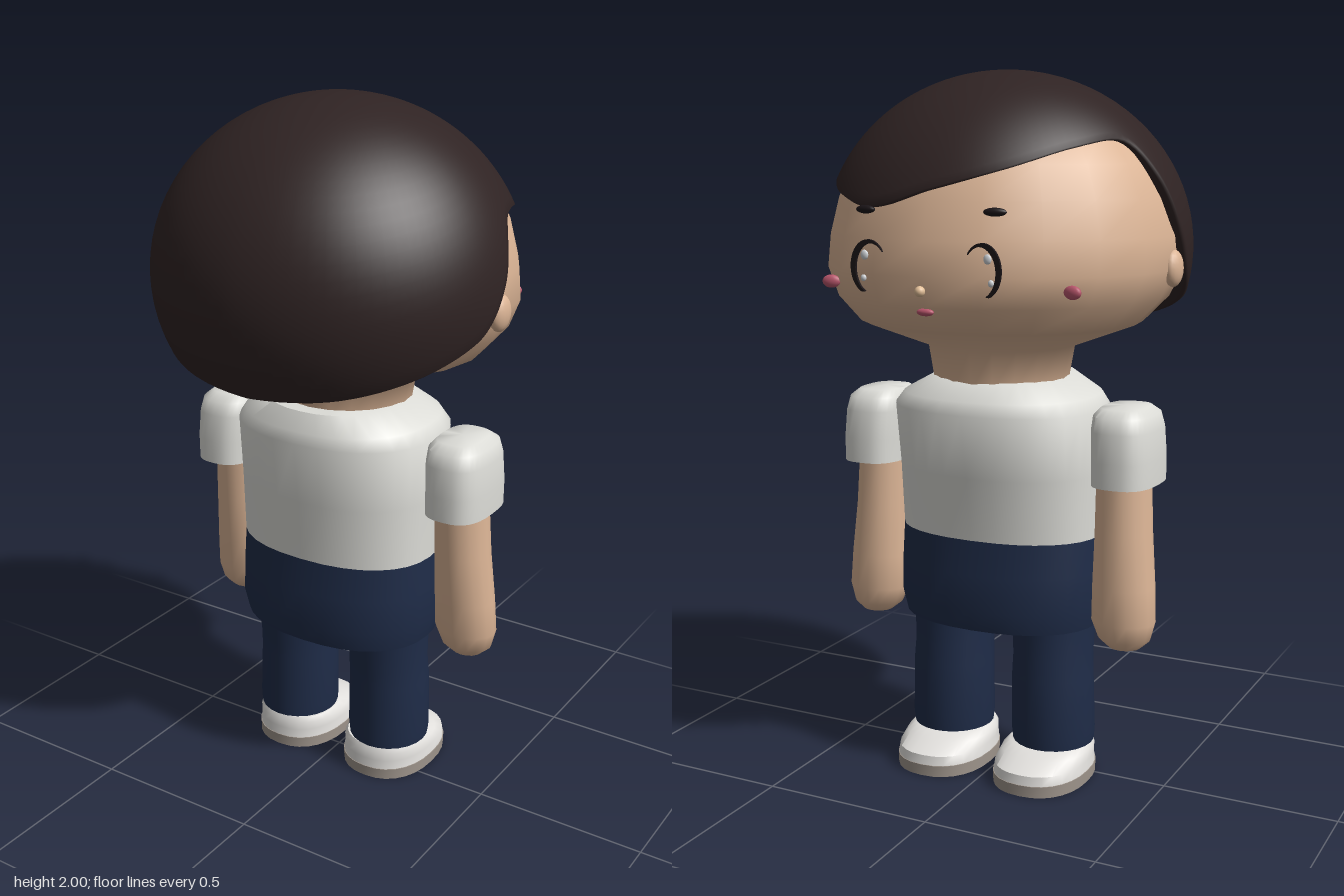
import * as THREE from 'three';
import { toCreasedNormals } from 'three/addons/utils/BufferGeometryUtils.js';

const mat = (name, color) => {
  const m = new THREE.MeshStandardMaterial({ color });
  m.name = name;
  return m;
};

// Build a closed grid surface from rows of points (bottom row first)
function grid(rows, crease) {
  const n = rows[0].length, pos = rows.flat(2), idx = [];
  for (let j = 0; j < rows.length - 1; j++) {
    for (let i = 0; i < n; i++) {
      const k = (i + 1) % n, a = j * n + i, b = j * n + k;
      idx.push(a, b, b + n, a, b + n, a + n);
    }
  }
  const g = new THREE.BufferGeometry();
  g.setAttribute('position', new THREE.Float32BufferAttribute(pos, 3));
  g.setIndex(idx);
  if (crease) return toCreasedNormals(g, crease);
  g.computeVertexNormals();
  return g;
}

// Loft through rings [y, centreX, centreZ, radiusX, radiusZ]; power above 2 squares the section
function loft(rings, { segments = 32, power = 2, crease = 0.8 } = {}) {
  const bend = (v) => Math.sign(v) * Math.abs(v) ** (2 / power);
  return grid(rings.map(([y, cx, cz, rx, rz]) =>
    Array.from({ length: segments }, (_, i) => {
      const a = (i / segments) * Math.PI * 2;
      return [cx + rx * bend(Math.sin(a)), y, cz + rz * bend(Math.cos(a))];
    })), crease);
}

// Hair cap: an ellipsoid trimmed along a wavy hairline given as (angle from the back, height)
function hairGeometry() {
  const line = [[0, 1.28], [30, 1.3], [55, 1.35], [73, 1.41], [81, 1.46], [88, 1.56], [94, 1.67],
    [102, 1.72], [120, 1.71], [140, 1.67], [160, 1.645], [180, 1.69], [203, 1.74], [229, 1.795],
    [253, 1.81], [263, 1.72], [270, 1.57], [277, 1.47], [287, 1.41], [305, 1.35], [330, 1.3], [360, 1.28]];
  const curve = new THREE.SplineCurve(line.map(([a, y]) => new THREE.Vector2(a, y)));
  const n = 132, steps = 24, rows = [];
  const edge = Array.from({ length: n }, (_, i) => curve.getPoint(i / n));
  const point = (deg, el, s, lift) => {
    const a = THREE.MathUtils.degToRad(deg), r = Math.cos(el) * s, c = Math.cos(a);
    return [0.52 * r * Math.sin(a), 1.52 + 0.48 * Math.sin(el) + lift, (c > 0 ? 0.51 : 0.488) * r * c];
  };
  const low = (e) => Math.asin((e.y - 1.52) / 0.48);
  // rolled-under rim
  rows.push(edge.map((e) => point(e.x, low(e), 0.88, 0.03)));
  rows.push(edge.map((e) => point(e.x, low(e), 0.95, -0.005)));
  rows.push(edge.map((e) => point(e.x, low(e), 0.985, -0.005)));
  for (let j = 0; j <= steps; j++) {
    rows.push(edge.map((e) => point(e.x, THREE.MathUtils.lerp(low(e), Math.PI / 2, j / steps), 1, 0)));
  }
  return grid(rows);
}

// Eye crescent, open towards the nose
function eyeGeometry() {
  const s = new THREE.Shape();
  s.absellipse(0, 0, 0.052, 0.07, -1.2, 2.4, false);
  s.absellipse(-0.008, -0.004, 0.046, 0.064, 2.4, -1.2, true);
  return new THREE.ExtrudeGeometry(s, { depth: 0.008, bevelEnabled: false, curveSegments: 24 });
}

export function createModel() {
  const model = new THREE.Group();
  model.name = 'figure';
  const hair = mat('hair brown', 0x2f2323), skin = mat('skin', 0xdcb596), white = mat('shirt white', 0xdcdcd7);
  const navy = mat('trouser navy', 0x1f2c48), shoe = mat('shoe white', 0xe4e2df), sole = mat('sole taupe', 0x9f958c);
  const pink = mat('blush pink', 0xb9566c), black = mat('eye black', 0x1a1417);
  const glint = mat('eye glint', 0xd0d4d8), noseTone = mat('nose tone', 0xe3bf98);

  const add = (name, geometry, material, x = 0, y = 0, z = 0) => {
    const m = new THREE.Mesh(geometry, material);
    m.name = name;
    m.position.set(x, y, z);
    model.add(m);
    return m;
  };
  const blob = (name, material, p, r) => {
    const m = add(name, new THREE.SphereGeometry(1, 16, 12), material, ...p);
    m.scale.set(...r);
    return m;
  };

  // Head and neck
  add('head', loft([
    [1.14, 0, -0.035, 0.19, 0.185], [1.25, 0, -0.035, 0.21, 0.197], [1.32, 0, -0.035, 0.4, 0.375],
    [1.39, 0, -0.022, 0.465, 0.45], [1.47, 0, -0.008, 0.5, 0.486], [1.56, 0, 0, 0.497, 0.478],
    [1.66, 0, 0, 0.472, 0.452], [1.75, 0, 0, 0.43, 0.41], [1.85, 0, 0, 0.345, 0.33],
    [1.93, 0, 0, 0.2, 0.2], [1.96, 0, 0, 0, 0],
  ], { segments: 20, crease: 1.25 }), skin);
  add('hair', hairGeometry(), hair);

  // Face, looking towards -z
  blob('nose', noseTone, [0, 1.435, -0.495], [0.014, 0.014, 0.014]);
  blob('mouth', pink, [0, 1.38, -0.468], [0.025, 0.01, 0.01]);

  // Torso and hips
  add('shirt', loft([
    [0.72, 0, -0.015, 0.3, 0.215], [0.9, 0, -0.02, 0.302, 0.232], [1.08, 0, -0.027, 0.306, 0.258],
    [1.115, 0, -0.022, 0.28, 0.245], [1.165, 0, -0.01, 0.19, 0.205], [1.165, 0, -0.01, 0, 0],
  ], { power: 2.3 }), white);
  add('hips', loft([
    [0.46, 0, -0.015, 0, 0], [0.46, 0, -0.015, 0.293, 0.215], [0.52, 0, -0.015, 0.306, 0.229],
    [0.62, 0, -0.015, 0.305, 0.222], [0.72, 0, -0.015, 0.3, 0.215],
  ], { power: 2.3 }), navy);

  for (const s of [1, -1]) {
    const side = s > 0 ? 'left' : 'right';
    blob(side + 'Ear', skin, [s * 0.495, 1.475, 0], [0.025, 0.05, 0.042]);
    const cheek = blob(side + 'Cheek', pink, [s * 0.357, 1.435, -0.352], [0.026, 0.018, 0.012]);
    cheek.rotation.y = s * 0.2;
    const brow = blob(side + 'Brow', black, [s * 0.187, 1.635, -0.444], [0.031, 0.011, 0.011]);
    brow.rotation.y = -s * 0.15;
    const eye = add(side + 'Eye', eyeGeometry(), black, s * 0.165, 1.49, -0.466);
    eye.rotation.y = Math.PI;
    if (s > 0) {
      // mirrored copy: flip the x of every corner and the winding
      const g = eye.geometry.toNonIndexed ? eye.geometry : null, p = g.attributes.position;
      for (let i = 0; i < p.count; i += 3) {
        const t = [0, 1, 2].map((k) => [-p.getX(i + k), p.getY(i + k), p.getZ(i + k)]);
        p.setXYZ(i, ...t[0]);
        p.setXYZ(i + 1, ...t[2]);
        p.setXYZ(i + 2, ...t[1]);
      }
      g.computeVertexNormals();
    }
    blob(side + 'EyeGlintUpper', glint, [s * 0.178, 1.52, -0.468], [0.011, 0.013, 0.006]);
    blob(side + 'EyeGlintLower', glint, [s * 0.185, 1.46, -0.463], [0.008, 0.009, 0.006]);

    // Arm with sleeve
    add(side + 'Sleeve', loft([
      [0.9, s * 0.392, -0.037, 0.07, 0.09], [0.89, s * 0.392, -0.037, 0.088, 0.13],
      [0.96, s * 0.392, -0.037, 0.088, 0.131], [1.04, s * 0.388, -0.037, 0.087, 0.125],
      [1.08, s * 0.385, -0.037, 0.08, 0.115], [1.1, s * 0.382, -0.037, 0.06, 0.085],
      [1.103, s * 0.38, -0.037, 0, 0],
    ], { power: 2.8 }), white);
    add(side + 'Arm', loft([
      [0.415, s * 0.4, -0.07, 0, 0], [0.425, s * 0.4, -0.07, 0.045, 0.04], [0.45, s * 0.398, -0.068, 0.075, 0.062],
      [0.5, s * 0.394, -0.066, 0.092, 0.075], [0.6, s * 0.391, -0.06, 0.089, 0.078],
      [0.75, s * 0.385, -0.05, 0.08, 0.084], [0.93, s * 0.38, -0.042, 0.074, 0.087],
    ], { segments: 16, crease: 1.1 }), skin);

    // Leg and shoe
    add(side + 'Leg', loft([
      [0.09, s * 0.164, -0.025, 0.1, 0.105], [0.1, s * 0.164, -0.025, 0.118, 0.12],
      [0.13, s * 0.164, -0.025, 0.121, 0.123], [0.3, s * 0.162, -0.027, 0.118, 0.121],
      [0.36, s * 0.161, -0.022, 0.115, 0.122], [0.5, s * 0.16, -0.015, 0.122, 0.13],
    ], { segments: 24 }), navy);
    add(side + 'Shoe', loft([
      [0.033, s * 0.157, -0.07, 0.134, 0.174], [0.06, s * 0.157, -0.069, 0.131, 0.171],
      [0.085, s * 0.157, -0.045, 0.127, 0.145], [0.1, s * 0.158, -0.028, 0.115, 0.12], [0.1, s * 0.158, -0.028, 0, 0],
    ], { segments: 28, power: 2.3 }), shoe);
    add(side + 'Sole', loft([
      [0, s * 0.157, -0.07, 0, 0], [0, s * 0.157, -0.07, 0.135, 0.175],
      [0.033, s * 0.157, -0.07, 0.136, 0.176], [0.035, s * 0.157, -0.07, 0.12, 0.16],
    ], { segments: 28, power: 2.3 }), sole);
  }
  return model;
}
